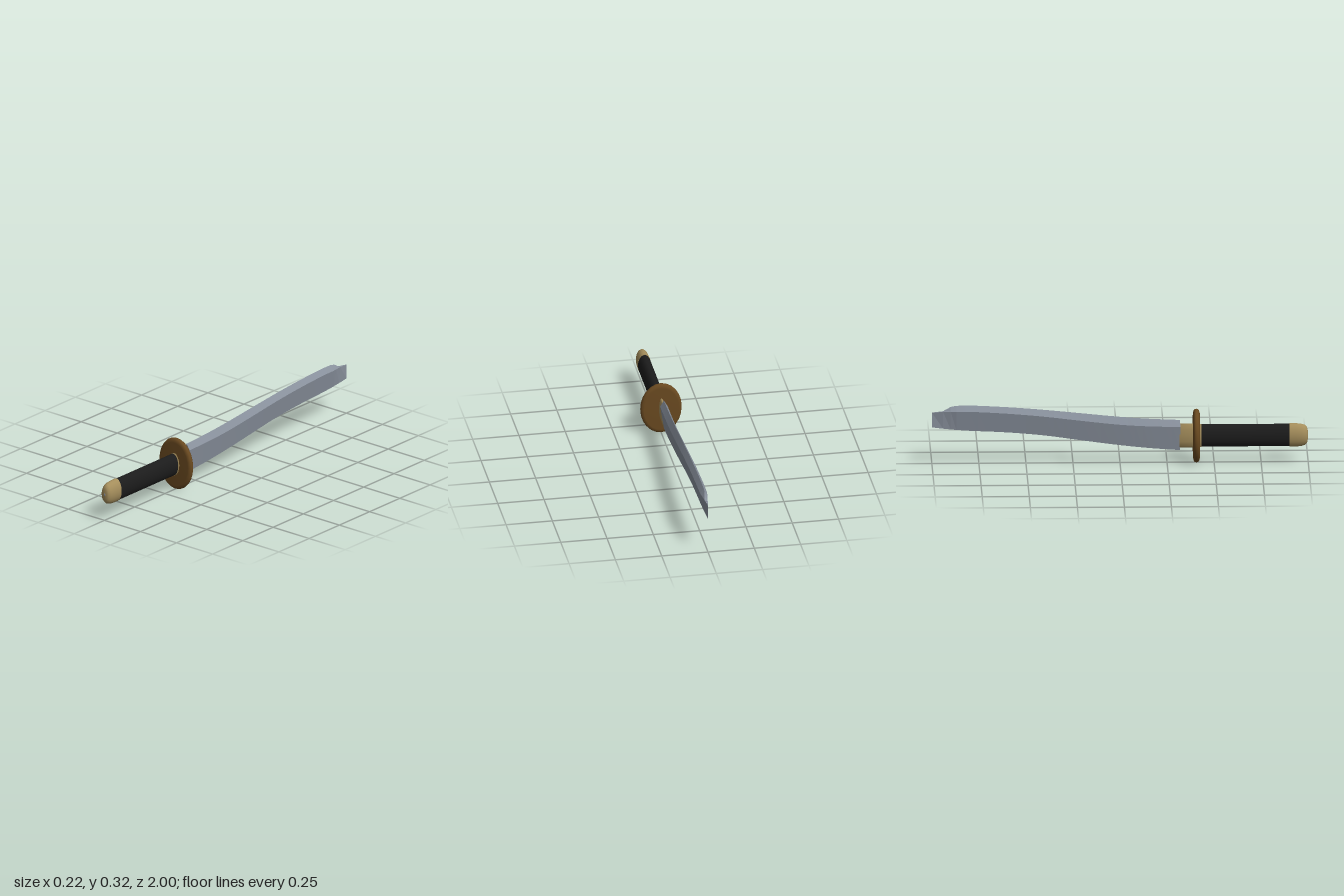
import * as THREE from 'three';

const mat = (name, color, extra = {}) => {
  const m = new THREE.MeshStandardMaterial({ color, ...extra });
  m.name = name;
  return m;
};

// Elliptical turned part along z: profile of [radius ratio, z], scaled to half width and half height
function turned(name, profile, halfW, halfH, material, segments = 24) {
  const g = new THREE.LatheGeometry(profile.map(([r, z]) => new THREE.Vector2(r, z)), segments);
  g.rotateX(Math.PI / 2);
  g.scale(halfW, halfH, 1);
  const mesh = new THREE.Mesh(g, material);
  mesh.name = name;
  mesh.position.y = 0.146;
  return mesh;
}

// Kite-section blade lofted through stations: z, spine y, ridge y, edge y, half width
function bladeGeometry() {
  const keys = [
    [0.32, 0.231, 0.197, 0.066, 0.02],
    [0.16, 0.238, 0.201, 0.078, 0.02],
    [0, 0.25, 0.211, 0.095, 0.02],
    [-0.2, 0.27, 0.233, 0.122, 0.02],
    [-0.4, 0.29, 0.257, 0.15, 0.02],
    [-0.6, 0.306, 0.275, 0.168, 0.02],
    [-0.8, 0.316, 0.286, 0.178, 0.02],
    [-0.87, 0.315, 0.286, 0.183, 0.019],
  ];
  const curve = (c) => new THREE.CatmullRomCurve3(keys.map((k) => new THREE.Vector3(k[c], k[0], k[4])));
  const [spine, ridge, edge] = [1, 2, 3].map(curve);
  const stations = [];
  for (let i = 0; i <= 28; i++) {
    const t = i / 28;
    const s = spine.getPoint(t), r = ridge.getPoint(t), e = edge.getPoint(t);
    stations.push([s.y, s.x, r.x, e.x, s.z]);
  }
  // Tip: the spine drops to the ridge, then both sides meet in an upright line
  stations.push([-0.9, 0.309, 0.286, 0.186, 0.015], [-0.94, 0.285, 0.284, 0.19, 0.009], [-1, 0.279, 0.278, 0.198, 0.0003]);

  const loops = stations.map(([z, top, mid, low, w]) => [[0, top, z], [w, mid, z], [0, low, z], [-w, mid, z]]);
  const pos = [];
  const quad = (a, b, c, d) => pos.push(...a, ...b, ...c, ...a, ...c, ...d);
  for (let i = 0; i < loops.length - 1; i++) {
    for (let k = 0; k < 4; k++) {
      const n = (k + 1) % 4;
      quad(loops[i][k], loops[i][n], loops[i + 1][n], loops[i + 1][k]);
    }
  }
  const a = loops[0], b = loops[loops.length - 1];
  quad(a[0], a[3], a[2], a[1]);
  quad(b[0], b[1], b[2], b[3]);
  const g = new THREE.BufferGeometry();
  g.setAttribute('position', new THREE.Float32BufferAttribute(pos, 3));
  g.computeVertexNormals();
  return g;
}

export function createModel() {
  const steel = mat('blade steel', 0x8a929e);
  const brass = mat('pale brass', 0xa58e5c);
  const bronze = mat('dark bronze', 0x694920);
  const wrap = mat('black wrap', 0x1c1c1c);

  const model = new THREE.Group();
  model.name = 'sword';

  const blade = new THREE.Mesh(bladeGeometry(), steel);
  blade.name = 'blade';
  model.add(blade);

  // Collar between blade and guard, and the thin ring behind the guard
  model.add(turned('collar', [[0, 0.315], [1, 0.315], [1, 0.4]], 0.014, 0.065, brass, 12));
  model.add(turned('gripRing', [[1, 0.42], [1, 0.432], [0, 0.432]], 0.036, 0.063, brass));

  // Oval guard with a rounded rim
  const guard = turned('guard', [
    [0, 0.388], [0.84, 0.388], [0.94, 0.392], [0.985, 0.398], [1, 0.406],
    [0.985, 0.414], [0.94, 0.42], [0.84, 0.424], [0, 0.424],
  ], 0.112, 0.145, bronze);
  guard.position.y = 0.145;
  model.add(guard);

  model.add(turned('grip', [[1, 0.43], [1, 0.902]], 0.035, 0.061, wrap));

  // Rounded end cap with a small pin
  model.add(turned('pommel', [
    [0, 0.9], [0.999, 0.9], [1, 0.9], [1, 0.935], [0.96, 0.962], [0.86, 0.982], [0.68, 0.994], [0.4, 0.998], [0, 0.999],
  ], 0.036, 0.064, brass));
  model.add(turned('pommelPin', [[0.13, 0.995], [0.13, 1], [0, 1]], 0.036, 0.064, steel, 12));

  return model;
}
